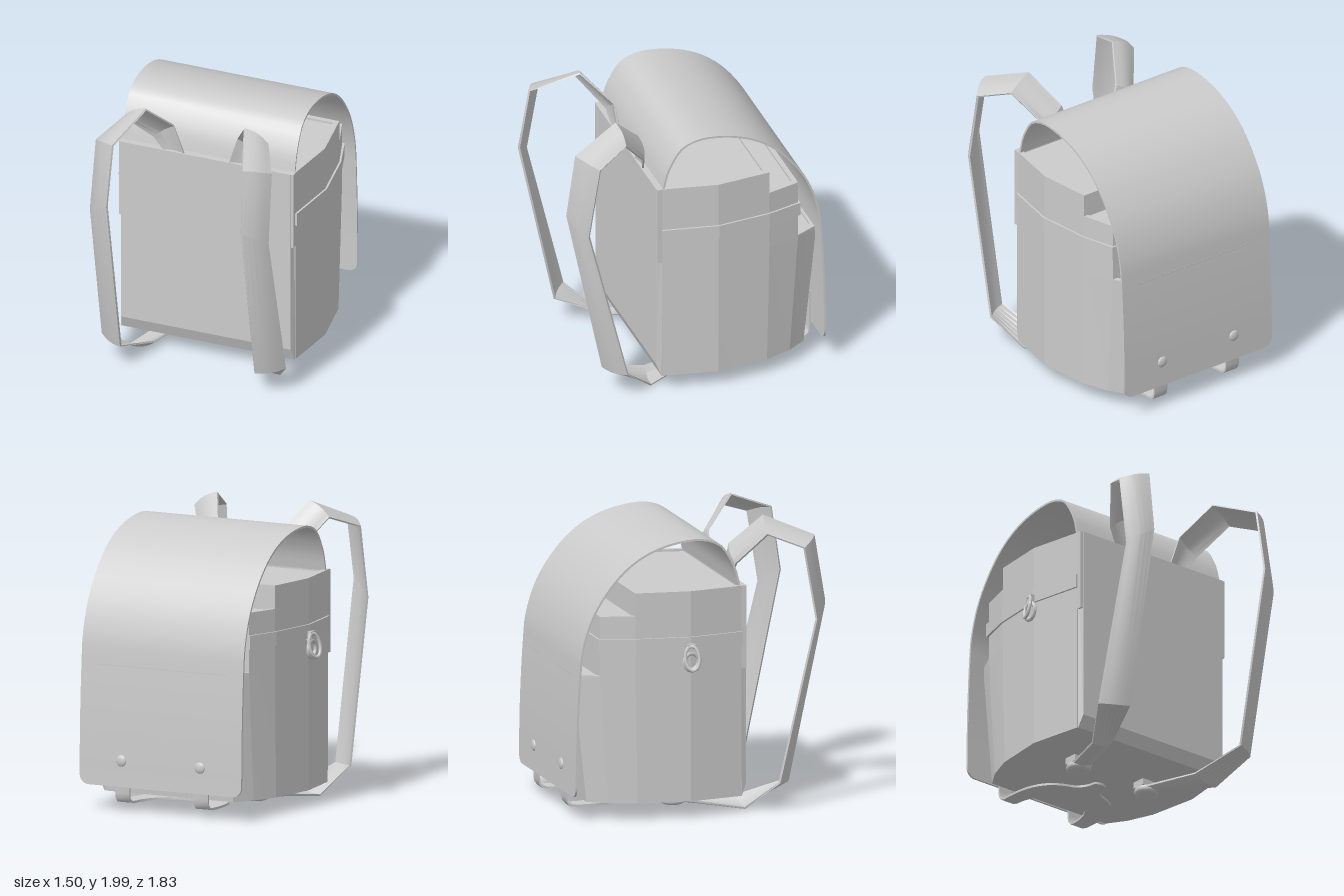
import * as THREE from 'three';
import { toCreasedNormals, mergeVertices } from 'three/addons/utils/BufferGeometryUtils.js';

const mat = new THREE.MeshStandardMaterial({ color: 0xcccccc, side: THREE.DoubleSide });
const V = (x, y, z) => new THREE.Vector3(x, y, z);

function mesh(name, geo, parent, crease = 0.5) {
  const m = new THREE.Mesh(toCreasedNormals(geo, crease), mat);
  m.name = name;
  parent.add(m);
  return m;
}

// Closed skin through equal-length rings of points, with both ends capped
function loft(rings) {
  const n = rings[0].length, pos = [], idx = [];
  rings.forEach(r => r.forEach(p => pos.push(p.x, p.y, p.z)));
  for (let i = 0; i < rings.length - 1; i++)
    for (let j = 0; j < n; j++) {
      const a = i * n + j, b = i * n + (j + 1) % n;
      idx.push(a, b, a + n, b, b + n, a + n);
    }
  // each ring is a thin strip: outer points, then inner points in reverse
  const last = (rings.length - 1) * n;
  for (let j = 0; j < n / 2 - 1; j++) {
    const k = n - 1 - j;
    idx.push(j, k, j + 1, j + 1, k, k - 1);
    idx.push(last + j, last + j + 1, last + k, last + j + 1, last + k - 1, last + k);
  }
  const g = new THREE.BufferGeometry();
  g.setAttribute('position', new THREE.Float32BufferAttribute(pos, 3));
  g.setIndex(idx);
  return g;
}

// Plan outline of the bag: [z, half width] from the wearer's side to the far side
const stations = [[0.27, 0.635], [-0.11, 0.7], [-0.49, 0.655], [-0.72, 0.585], [-0.88, 0.5]];
function plan(zEnd, grow = 0) {
  const s = stations.filter(([z]) => z >= zEnd - 0.001);
  const side = s.map(([z, h], i) => new THREE.Vector2(
    h + grow, -(z + (i === 0 ? grow * 0.4 : i === s.length - 1 ? -grow : 0))));
  return [...side, ...side.map(p => new THREE.Vector2(-p.x, p.y)).reverse()];
}
function slab(outline, y0, y1, hole) {
  const shape = new THREE.Shape(outline);
  if (hole) shape.holes.push(new THREE.Path(hole));
  return new THREE.ExtrudeGeometry(shape, { depth: y1 - y0, bevelEnabled: false })
    .rotateX(-Math.PI / 2).translate(0, y0, 0);
}

function addBody(g) {
  // three stepped tiers, each with a slightly raised rim
  for (const [name, zEnd, y0, y1] of [['lowerBody', -0.88, 0.125, 1.01],
    ['middleBody', -0.72, 1.0, 1.42], ['upperBody', -0.49, 1.41, 1.58]]) {
    const solid = slab(plan(zEnd), y0, y1 - 0.015);
    if (name === 'lowerBody') {
      // the far face leans in towards the bottom
      const p = solid.attributes.position;
      for (let i = 0; i < p.count; i++)
        if (p.getY(i) < 0.2 && p.getZ(i) < -0.4) p.setZ(i, -0.4 + (p.getZ(i) + 0.4) * 0.81);
    }
    mesh(name, solid, g, 0.1);
    mesh(name + 'Rim', slab(plan(zEnd), y1 - 0.015, y1, plan(zEnd, -0.035)), g, 0.1);
  }
  mesh('bodyBand', slab(plan(-0.72, 0.013), 1.17, 1.265), g, 0.1);

  // padded panel against the wearer, chamfered along its foot
  const side = new THREE.Shape([[-0.26, 0.125], [-0.275, 0.125], [-0.31, 0.215], [-0.31, 1.58], [-0.26, 1.58]]
    .map(([a, b]) => new THREE.Vector2(a, b)));
  const panel = new THREE.ExtrudeGeometry(side, { depth: 1.26, bevelEnabled: false })
    .rotateY(Math.PI / 2).translate(-0.63, 0, 0);
  const p = panel.attributes.position;
  for (let i = 0; i < p.count; i++) if (p.getZ(i) > 0.3) p.setX(i, p.getX(i) * 0.975);
  mesh('backPanel', panel, g, 0.1);
  for (const s of [-1, 1])
    mesh('panelEdge', new THREE.BoxGeometry(0.02, 0.57, 0.04).translate(s * 0.625, 1.295, 0.287), g);
}

// Big cover curving over the top and down the far side
function addFlap(g) {
  const curve = new THREE.CatmullRomCurve3([[0.265, 1.58], [0.235, 1.7], [0.19, 1.79], [0.13, 1.87],
    [0.01, 1.918], [-0.18, 1.91], [-0.38, 1.85], [-0.54, 1.75], [-0.68, 1.6], [-0.79, 1.42],
    [-0.86, 1.2], [-0.88, 1.0], [-0.9, 0.6], [-0.907, 0.18]].map(([z, y]) => V(0, y, z)));
  const len = curve.getLength(), r = 0.07, us = [];
  for (let i = 0; i < 50; i++) us.push(i / 50 * 0.975);
  for (let i = 0; i <= 12; i++) us.push(0.975 + 0.025 * Math.sin(i / 12 * Math.PI / 2));
  const rings = us.map(u => {
    const c = curve.getPointAt(u), t = curve.getTangentAt(u);
    const d = Math.min(r, (1 - u) * len);
    const h = 0.628 - r + Math.sqrt(Math.max(0, r * r - (r - d) ** 2));
    const q = V(0, c.y + t.z * 0.014, c.z - t.y * 0.014);
    return [V(-h, c.y, c.z), V(h, c.y, c.z), V(h, q.y, q.z), V(-h, q.y, q.z)];
  });
  mesh('flap', loft(rings), g, 0.6);
  for (const s of [-1, 1])
    mesh('flapStud', new THREE.SphereGeometry(0.04, 20, 8, 0, Math.PI * 2, 0, Math.PI / 2)
      .scale(1, 0.4, 1).rotateX(-Math.PI / 2).translate(s * 0.305, 0.36, -0.903), g, 1);
}

// Shoulder strap: inner and outer edge points, from the panel over the top and under the bag
function addStrap(g, s) {
  const inner = [[-0.165, 1.58, 0.29], [-0.235, 1.79, 0.305], [-0.36, 2.0, 0.51], [-0.475, 1.865, 0.84],
    [-0.49, 1.42, 0.91], [-0.49, 0.19, 0.655], [-0.37, 0.065, 0.31], [-0.235, 0.065, -0.1]];
  const outer = [[-0.315, 1.58, 0.29], [-0.38, 1.68, 0.31], [-0.525, 1.9, 0.49], [-0.64, 1.815, 0.72],
    [-0.65, 1.315, 0.805], [-0.67, 0.2, 0.535], [-0.545, 0.012, 0.325], [-0.365, 0.065, -0.1]];
  const A = inner.map(p => V(...p)), B = outer.map(p => V(...p)), n = 6;
  const mid = A.map((a, i) => a.clone().lerp(B[i], 0.5));
  const rings = A.map((a, i) => {
    const t = mid[Math.min(i + 1, 7)].clone().sub(mid[Math.max(i - 1, 0)]);
    const up = B[i].clone().sub(a).cross(t).normalize();
    const out = [], back = [];
    for (let k = 0; k <= n; k++) {
      const p = a.clone().lerp(B[i], k / n).addScaledVector(up, 0.018 * Math.sin(k / n * Math.PI));
      out.push(p);
      back.unshift(p.clone().addScaledVector(up, -0.014));
    }
    return [...out, ...back].map(p => V(-s * p.x, p.y, p.z));
  });
  mesh('shoulderStrap', loft(rings), g, 0.45);

  // round fastener under the bag with its post
  const disc = [[0, 0.03], [0.06, 0.03], [0.08, 0.04], [0.086, 0.058], [0.08, 0.078], [0, 0.085]]
    .map(([x, y]) => new THREE.Vector2(x, y));
  mesh('strapFastener', new THREE.LatheGeometry(disc, 28).translate(s * 0.3, 0, -0.115), g, 0.9);
  mesh('fastenerPost', new THREE.BoxGeometry(0.15, 0.05, 0.1).translate(s * 0.3, 0.105, -0.115), g);
}

// Forked closing tongue: two tabs behind the flap joining under the bag
function addTongue(g) {
  const f = new THREE.Shape();
  f.moveTo(-0.36, 0.83);
  f.bezierCurveTo(-0.38, 0.5, -0.27, 0.42, -0.12, 0.38);
  f.quadraticCurveTo(-0.05, 0.33, -0.05, 0.25);
  f.quadraticCurveTo(0, 0.21, 0.05, 0.25);
  f.quadraticCurveTo(0.05, 0.33, 0.12, 0.38);
  f.bezierCurveTo(0.27, 0.42, 0.38, 0.5, 0.36, 0.83);
  f.lineTo(0.25, 0.83);
  f.bezierCurveTo(0.25, 0.45, -0.25, 0.45, -0.25, 0.83);
  mesh('tongueFork', new THREE.ExtrudeGeometry(f, { depth: 0.016, bevelEnabled: false, curveSegments: 14 })
    .rotateX(-Math.PI / 2).translate(0, 0.063, 0), g);
  const path = [[-0.82, 0.071], [-0.86, 0.078], [-0.882, 0.1], [-0.89, 0.14], [-0.892, 0.42]];
  for (const s of [-1, 1])
    mesh('tongueTab', loft(path.map(([z, y], i) => {
      const k = Math.min(1, i / 3) * 0.014, a = s * 0.305 - 0.055, b = s * 0.305 + 0.055;
      const dy = i < 2 ? 0.014 : 0.006;
      return [V(a, y - dy / 2, z), V(b, y - dy / 2, z), V(b, y + dy / 2, z + k), V(a, y + dy / 2, z + k)];
    })), g, 0.8);
}

// Small hook hanging on the band
function addHook(g) {
  const hook = new THREE.Group();
  hook.name = 'sideHook';
  const loop = [];
  for (let i = 0; i < 16; i++) {
    const a = i / 16 * Math.PI * 2, c = Math.cos(a);
    loop.push(V(-0.752 + 0.016 * c - 0.016 * Math.sin(a), 1.125 + 0.08 * c, -0.115 + 0.045 * Math.sin(a)));
  }
  mesh('hookLoop', mergeVertices(new THREE.TubeGeometry(
    new THREE.CatmullRomCurve3(loop, true), 40, 0.012, 8, true)), hook, 1.2);
  mesh('hookRing', new THREE.TorusGeometry(0.045, 0.013, 8, 24)
    .rotateY(Math.PI / 2).scale(1, 1.3, 1.1).translate(-0.73, 1.1, -0.115), hook, 1.2);
  mesh('hookMount', new THREE.BoxGeometry(0.04, 0.06, 0.05).translate(-0.72, 1.19, -0.115), hook);
  g.add(hook);
}

export function createModel() {
  const g = new THREE.Group();
  g.name = 'schoolBackpack';
  addBody(g);
  addFlap(g);
  for (const s of [-1, 1]) addStrap(g, s);
  addTongue(g);
  addHook(g);
  g.position.x = 0.035;
  const root = new THREE.Group();
  root.add(g);
  return root;
}
